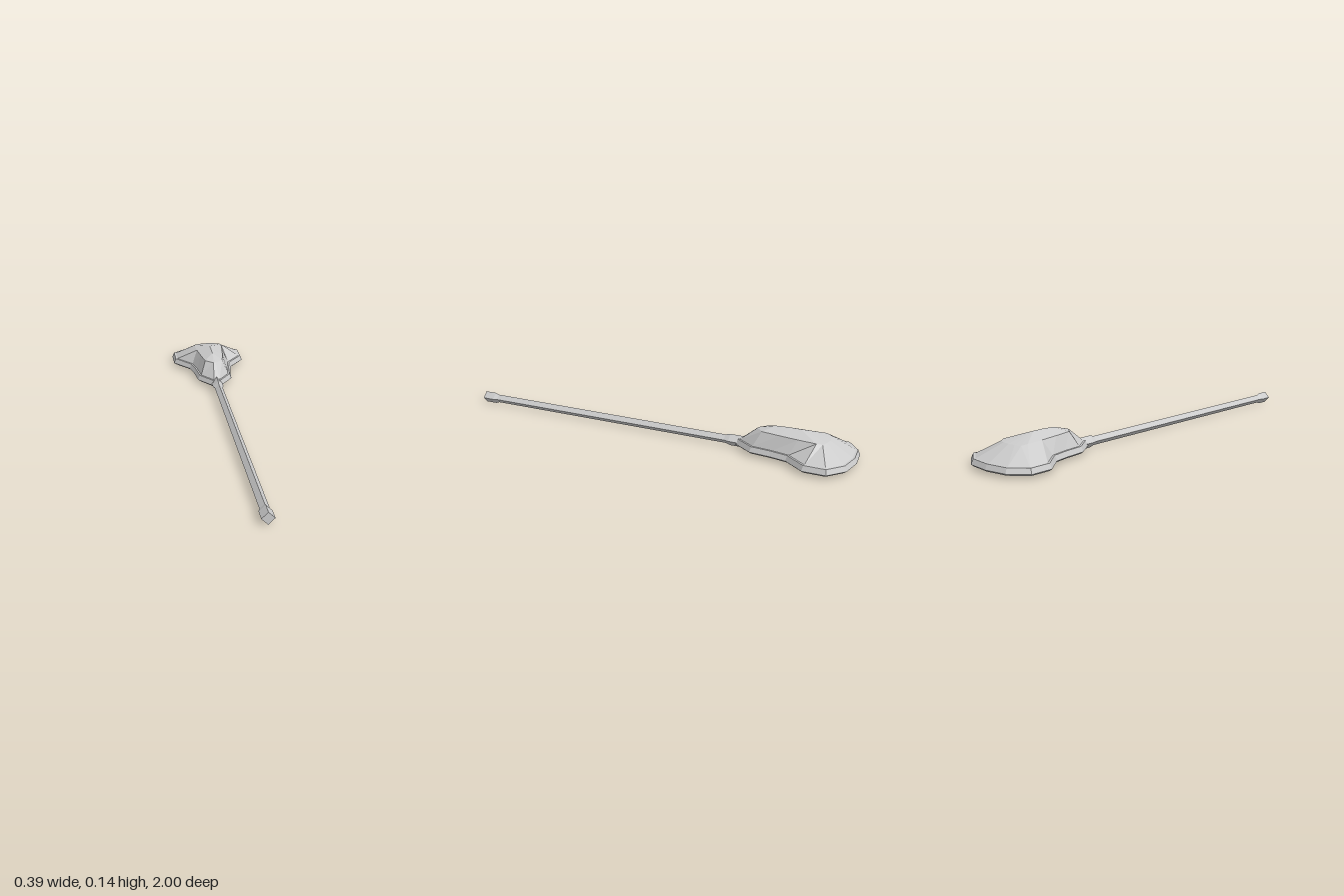
import * as THREE from 'three';

const grey = new THREE.MeshStandardMaterial({ color: 0xcccccc, flatShading: true });
const greyThin = new THREE.MeshStandardMaterial({ color: 0xcccccc, flatShading: true, side: THREE.DoubleSide });

// Skins a list of closed rings (arrays of Vector3), leaving out collapsed triangles.
function loft(rings) {
  const pos = [];
  const tri = (a, b, c) => {
    if (a.equals(b) || b.equals(c) || a.equals(c)) return;
    for (const p of [a, b, c]) pos.push(p.x, p.y, p.z);
  };
  for (let r = 0; r + 1 < rings.length; r++) {
    const A = rings[r], B = rings[r + 1], n = A.length;
    for (let i = 0; i < n; i++) {
      const j = (i + 1) % n;
      tri(A[i], A[j], B[j]);
      tri(A[i], B[j], B[i]);
    }
  }
  const g = new THREE.BufferGeometry();
  g.setAttribute('position', new THREE.Float32BufferAttribute(pos, 3));
  g.computeVertexNormals();
  return g;
}

// Half a ring from throat to tip, mirrored across x into a closed loop.
function mirrorRing(half) {
  const pts = half.map(([x, y, z]) => new THREE.Vector3(x, y, z));
  const other = pts.slice(0, -1).reverse().map(p => new THREE.Vector3(p.x === 0 ? 0 : -p.x, p.y, p.z));
  return [...pts, ...other];
}

// Moves a loop inward by d in the ground plane and sets its height.
function inset(loop, d, y) {
  const n = loop.length;
  const normal = (a, b) => new THREE.Vector2(-(b.z - a.z), b.x - a.x).normalize();
  return loop.map((p, i) => {
    const n1 = normal(loop[(i + n - 1) % n], p), n2 = normal(p, loop[(i + 1) % n]);
    const m = n1.clone().add(n2).normalize();
    const k = d / Math.max(0.6, m.dot(n1));
    return new THREE.Vector3(p.x - m.x * k, y, p.z - m.y * k);
  });
}

// Square bar standing on its edge, from [radius, z] pairs.
function diamondBar(name, profile) {
  const g = new THREE.LatheGeometry(profile.map(([r, z]) => new THREE.Vector2(r, z)), 4);
  g.rotateX(Math.PI / 2);
  const m = new THREE.Mesh(g, grey);
  m.name = name;
  m.position.y = 0.028;
  return m;
}

export function createModel() {
  const model = new THREE.Group();
  model.name = 'fieldStick';

  // Handle, end cap and the collar that grips the head
  model.add(
    diamondBar('shaft', [[0, -0.47], [0.021, -0.47], [0.021, 0.96], [0, 0.96]]),
    diamondBar('endCap', [[0.021, 0.92], [0.028, 0.94], [0.028, 1], [0, 1]]),
    diamondBar('collar', [[0, -0.49], [0.028, -0.49], [0.028, -0.4], [0.021, -0.375]])
  );

  const head = new THREE.Group();
  head.name = 'head';
  model.add(head);

  // Bevelled rim following the head outline
  const outline = mirrorRing([
    [0.024, 0, -0.435], [0.09, 0, -0.53], [0.1, 0, -0.63], [0.116, 0, -0.71],
    [0.193, 0, -0.81], [0.193, 0, -0.92], [0.11, 0, -0.985], [0, 0, -1]
  ]);
  const section = [[0, 0.02], [0.01, 0.044], [0.022, 0.044], [0.022, 0.014], [0.011, 0.011], [0, 0.02]];
  const rim = new THREE.Mesh(loft(section.map(([d, y]) => inset(outline, d, y))), grey);
  rim.name = 'rim';
  head.add(rim);

  // Domed pocket: rim edge, crown ring, then the centre ridge
  const crown = mirrorRing([
    [0.006, 0.111, -0.535], [0.046, 0.112, -0.57], [0.06, 0.112, -0.66], [0.07, 0.111, -0.75],
    [0.076, 0.11, -0.835], [0.065, 0.106, -0.86], [0.035, 0.106, -0.87], [0, 0.106, -0.875]
  ]);
  const ridge = mirrorRing([
    [0, 0.134, -0.62], [0, 0.134, -0.62], [0, 0.137, -0.68], [0, 0.137, -0.735],
    [0, 0.137, -0.735], [0, 0.137, -0.735], [0, 0.137, -0.735], [0, 0.137, -0.735]
  ]);
  const pocket = new THREE.Mesh(loft([inset(outline, 0.018, 0.043), crown, ridge]), greyThin);
  pocket.name = 'pocket';
  head.add(pocket);

  return model;
}
